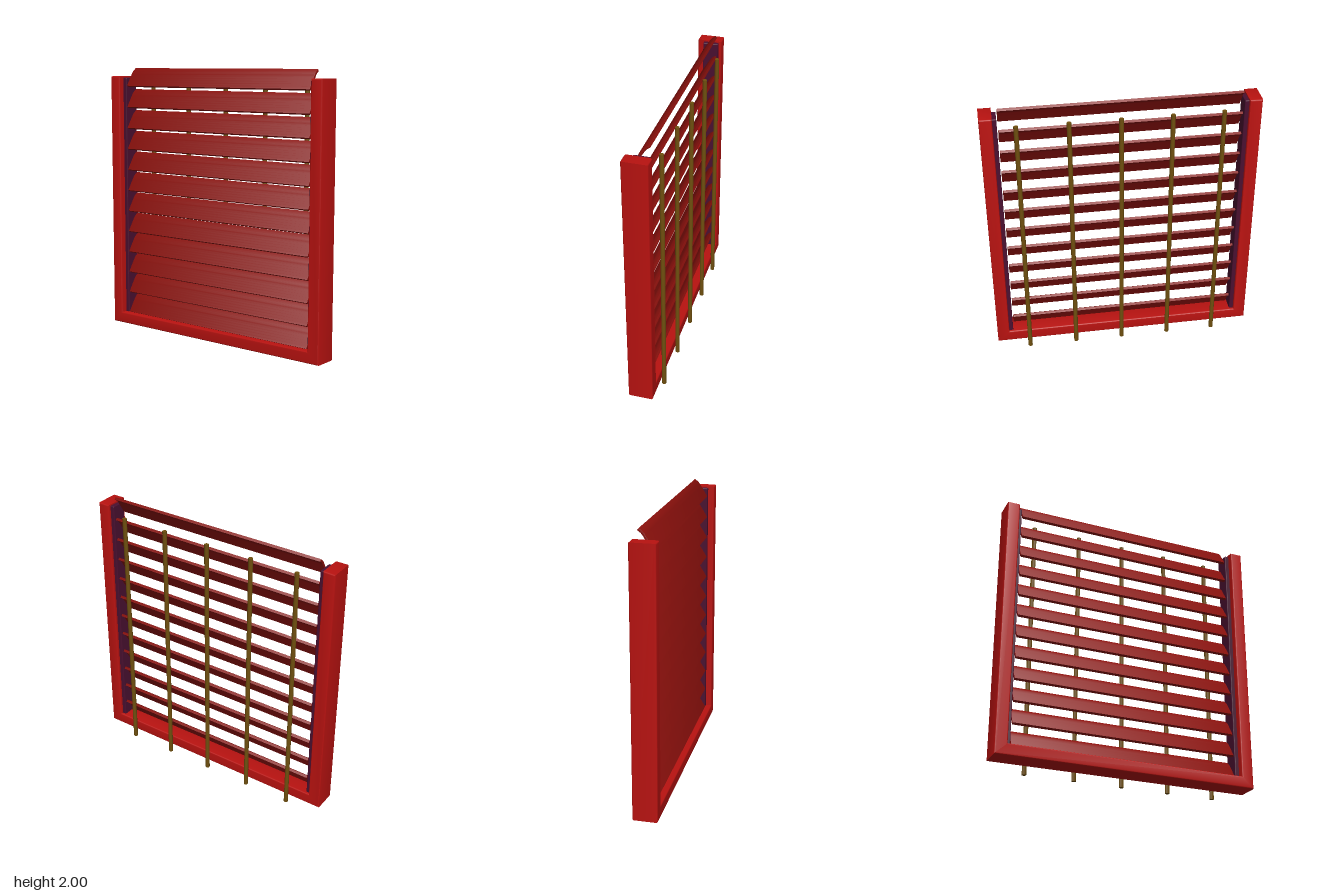
import * as THREE from 'three';
import { RoundedBoxGeometry } from 'three/addons/geometries/RoundedBoxGeometry.js';
import { toCreasedNormals } from 'three/addons/utils/BufferGeometryUtils.js';

const paint = (color) => new THREE.MeshStandardMaterial({ color });
const frameRed = paint(0xb81210);
const slatRed = paint(0x8a100c);
const channelDark = paint(0x4a1030);
const rodOlive = paint(0x70500f);

const SLATS = 12, PITCH = 0.1573, LOWEST = 0.131;

// U-shaped frame: two posts joined by a bottom rail, open at the top
function frameGeometry() {
  const b = 0.01;
  const outer = 0.945 - b, inner = 0.857 + b, low = 0.055 + b, rail = 0.137 - b, high = 1.94 - b;
  const shape = new THREE.Shape([
    [-outer, low], [outer, low], [outer, high], [inner, high],
    [inner, rail], [-inner, rail], [-inner, high], [-outer, high],
  ].map(([x, y]) => new THREE.Vector2(x, y)));
  const geo = new THREE.ExtrudeGeometry(shape, {
    depth: 0.175 - 2 * b, bevelThickness: b, bevelSize: b, bevelSegments: 3,
  });
  geo.translate(0, 0, -0.075 + b);
  return toCreasedNormals(geo, 0.7);
}

// Cambered slat: a thin curved section (z, y) swept along x
function slatGeometry() {
  const curve = new THREE.SplineCurve([
    [0.047, 0.008], [0.024, 0.046], [0.001, 0.083], [-0.018, 0.111], [-0.042, 0.13],
  ].map(([z, y]) => new THREE.Vector2(z, y)));
  const half = 0.005, front = [], back = [];
  for (let i = 0; i <= 10; i++) {
    const p = curve.getPoint(i / 10), t = curve.getTangent(i / 10);
    front.push(new THREE.Vector2(p.x + t.y * half, p.y - t.x * half));
    back.unshift(new THREE.Vector2(p.x - t.y * half, p.y + t.x * half));
  }
  const length = 1.642, b = 0.004;
  const geo = new THREE.ExtrudeGeometry(new THREE.Shape([...front, ...back]), {
    depth: length - 2 * b, bevelThickness: b, bevelSize: b, bevelSegments: 2,
  });
  geo.translate(0, 0, -length / 2 + b);
  geo.rotateY(-Math.PI / 2);
  return toCreasedNormals(geo, 0.7);
}

export function createModel() {
  const group = new THREE.Group();
  const add = (name, geo, mat, x = 0, y = 0, z = 0) => {
    const mesh = new THREE.Mesh(geo, mat);
    mesh.name = name;
    mesh.position.set(x, y, z);
    group.add(mesh);
  };

  add('frame', frameGeometry(), frameRed);

  // Inner strips on the posts that carry the slat ends
  const strip = new RoundedBoxGeometry(0.05, 1.82, 0.11, 2, 0.006);
  for (const side of [-1, 1]) {
    add(side > 0 ? 'leftSlatCarrier' : 'rightSlatCarrier', strip, channelDark, side * 0.853, 1.02, 0);
  }

  // Louvre slats, the top one rising above the posts
  const slat = slatGeometry();
  for (let i = 0; i < SLATS; i++) {
    add(`slat${i + 1}`, slat, slatRed, 0, LOWEST + i * PITCH, 0);
  }

  // Vertical control rods behind the frame
  const rod = toCreasedNormals(new THREE.CylinderGeometry(0.016, 0.016, 1.885, 8), 0.9);
  for (let i = 0; i < 5; i++) {
    add(`controlRod${i + 1}`, rod, rodOlive, -0.682 + i * 0.3475, 0.9425, -0.087);
  }
  return group;
}
